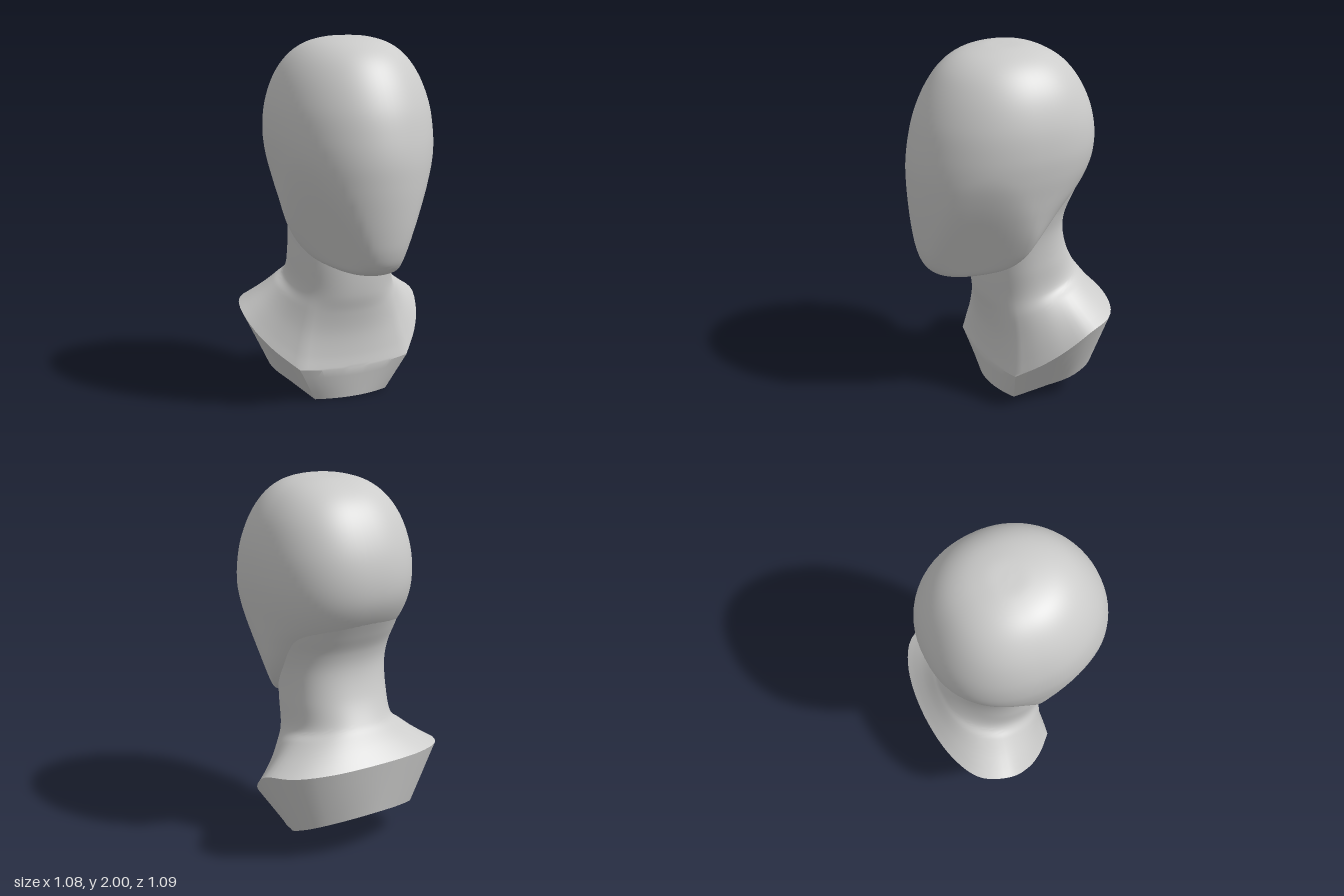
import * as THREE from 'three';
import { toCreasedNormals } from 'three/addons/utils/BufferGeometryUtils.js';

const N = 72; // points around each ring
const V = (x, y, z) => new THREE.Vector3(x, y, z);
const spow = (v, p) => Math.sign(v) * Math.pow(Math.abs(v), p);

// Skin a list of closed rings, ordered from top to bottom
function skin(rings, crease) {
  const pos = [];
  const tri = (a, b, c) => {
    if (a.distanceTo(b) < 1e-5 || b.distanceTo(c) < 1e-5 || a.distanceTo(c) < 1e-5) return;
    for (const p of [a, b, c]) pos.push(p.x, p.y, p.z);
  };
  for (let i = 0; i < rings.length - 1; i++) {
    for (let j = 0; j < N; j++) {
      const k = (j + 1) % N;
      const a = rings[i][j], b = rings[i][k], c = rings[i + 1][j], d = rings[i + 1][k];
      tri(a, c, b);
      tri(b, c, d);
    }
  }
  const g = new THREE.BufferGeometry();
  g.setAttribute('position', new THREE.Float32BufferAttribute(pos, 3));
  return toCreasedNormals(g, crease);
}

// Smoothly interpolate between key rings, column by column
function refine(rings, steps) {
  const columns = rings[0].map((_, j) =>
    new THREE.CatmullRomCurve3(rings.map(r => r[j]), false, 'centripetal').getPoints(steps));
  return Array.from({ length: steps + 1 }, (_, i) => columns.map(c => c[i]));
}

// Rounded ring, with its own front and back depth; height tilts from front to back
function oval({ yF, yB = yF, zF, zB, w, zc, pF = 2, pB = 2.3 }, angle) {
  return Array.from({ length: N }, (_, j) => {
    const t = angle(j), c = Math.cos(t), s = Math.sin(t);
    const p = c > 0 ? pF : pB;
    const u = spow(c, 2 / p);
    const z = zc + u * (c > 0 ? zF - zc : zc - zB);
    return V(w * spow(s, 2 / p), yF + (yB - yF) * (1 - u) / 2, z);
  });
}

// Flat cheeks: soft limit of the half width by a slanted plane
function cheek(p) {
  const limit = Math.max(0, (0.153 * p.y - 0.0036 - 0.18 * p.z) / 0.39);
  const x = Math.abs(p.x), k = 0.04;
  const h = Math.max(k - Math.abs(x - limit), 0) / k;
  if (p.y < 1.5 && x > 0.02) p.x = Math.sign(p.x) * (Math.min(x, limit) - h * h * k / 4);
  return p;
}

function headGeometry() {
  // height, front, back, half width, depth of the widest point
  const rows = [
    [2.0, 0, 0, 0, 0], [1.994, 0.12, -0.11, 0.115, 0], [1.96, 0.245, -0.225, 0.225, 0],
    [1.9, 0.335, -0.315, 0.305, 0], [1.8, 0.413, -0.393, 0.375, 0], [1.65, 0.485, -0.458, 0.426, 0.01],
    [1.5, 0.525, -0.48, 0.441, 0.02], [1.38, 0.543, -0.462, 0.433, 0.03], [1.26, 0.545, -0.395, 0.414, 0.04],
    [1.15, 0.54, -0.28, 0.395, 0.04], [1.0, 0.525, -0.12, 0.363, 0.04], [0.9, 0.507, -0.02, 0.32, 0.06],
    [0.83, 0.48, 0.03, 0.26, 0.12], [0.79, 0.445, 0.08, 0.19, 0.2], [0.765, 0.385, 0.14, 0.11, 0.25],
    [0.756, 0.27, 0.27, 0, 0.27],
  ];
  const rings = rows.map(([yF, zF, zB, w, zc]) =>
    oval({ yF, zF, zB, w, zc }, j => (j / N) * Math.PI * 2));
  const fine = refine(rings, 90);
  fine.forEach(r => r.forEach(cheek));
  return skin(fine, 0.9);
}

// Bust outline: bowed front edge between two corners, spline sides, bowed back
const F = 16; // steps across the front edge
function outline(mid, corner, side, backCorner, back) {
  const flip = p => V(-p[0], p[1], p[2]);
  const right = [corner, ...side, ...backCorner].map(p => V(...p));
  const left = [corner, ...side, ...backCorner].map(flip).reverse();
  const curve = new THREE.CatmullRomCurve3([...right, V(...back), ...left], false, 'centripetal');
  return Array.from({ length: N }, (_, j) => {
    const s = j > N / 2 ? j - N : j;
    if (Math.abs(s) > F / 2) return curve.getPointAt((j - F / 2) / (N - F));
    const u = s / (F / 2), c = V(...corner), m = V(...mid);
    return V(c.x * u, m.y + (c.y - m.y) * u * u, m.z + (c.z - m.z) * u * u);
  });
}

// Spread ring angles so the front edge lines up with the front of the neck
function bustAngle(j) {
  const s = j > N / 2 ? j - N : j, a = 0.85;
  if (Math.abs(s) <= F / 2) return (s / (F / 2)) * a;
  return Math.sign(s) * (a + (Math.PI - a) * (Math.abs(s) - F / 2) / (N / 2 - F / 2));
}

function bustGeometry() {
  // The neck widens at the top to melt into the skull
  const neck = [
    { yF: 1.32, zF: 0.1, zB: -0.43, w: 0.375, zc: -0.08 },
    { yF: 1.2, zF: 0.14, zB: -0.367, w: 0.35, zc: -0.08 },
    { yF: 1.1, zF: 0.16, zB: -0.32, w: 0.325, zc: -0.07 },
    { yF: 1.0, zF: 0.17, zB: -0.306, w: 0.305, zc: -0.07 },
    { yF: 0.78, yB: 0.85, zF: 0.172, zB: -0.338, w: 0.298, zc: -0.08 },
    { yF: 0.6, yB: 0.72, zF: 0.157, zB: -0.4, w: 0.304, zc: -0.11 },
  ].map(o => oval({ ...o, pF: 2.2, pB: 2.2 }, bustAngle));

  const rim = outline([0, 0.18, 0.13], [0.33, 0.2, 0.1],
    [[0.44, 0.3, -0.01], [0.51, 0.395, -0.12], [0.538, 0.488, -0.25]],
    [[0.47, 0.515, -0.41], [0.3, 0.53, -0.503]], [0, 0.54, -0.543]);
  const floor = outline([0, 0.003, 0.1], [0.22, 0, 0.05],
    [[0.29, 0.062, -0.1], [0.358, 0.128, -0.25]],
    [[0.335, 0.18, -0.37], [0.2, 0.215, -0.45]], [0, 0.235, -0.49]);

  // Shoulders sweep from the neck base to the rim, hollow at the chest
  const base = neck[neck.length - 1];
  const shoulders = [0.22, 0.5, 0.8].map(f => base.map((p, j) => {
    const q = p.clone().lerp(rim[j], f);
    const bow = Math.sin(Math.PI * f);
    q.z -= 0.025 * bow * Math.max(0, Math.cos(bustAngle(j)));
    q.y -= 0.01 * bow;
    return q;
  }));
  const upper = refine([...neck, ...shoulders, rim], 72);
  const walls = [0.25, 0.5, 0.75, 1].map(f => rim.map((p, j) => p.clone().lerp(floor[j], f)));
  const centre = floor.map(() => V(0, 0.11, -0.2));
  return skin([...upper, ...walls, centre], 0.42);
}

export function createModel() {
  const group = new THREE.Group();
  group.name = 'mannequinBust';
  const grey = new THREE.MeshStandardMaterial({ color: 0xcccccb });
  grey.name = 'matteGrey';
  const add = (name, geometry) => {
    const mesh = new THREE.Mesh(geometry, grey);
    mesh.name = name;
    group.add(mesh);
  };
  add('head', headGeometry());
  add('neckAndShoulders', bustGeometry());
  return group;
}
